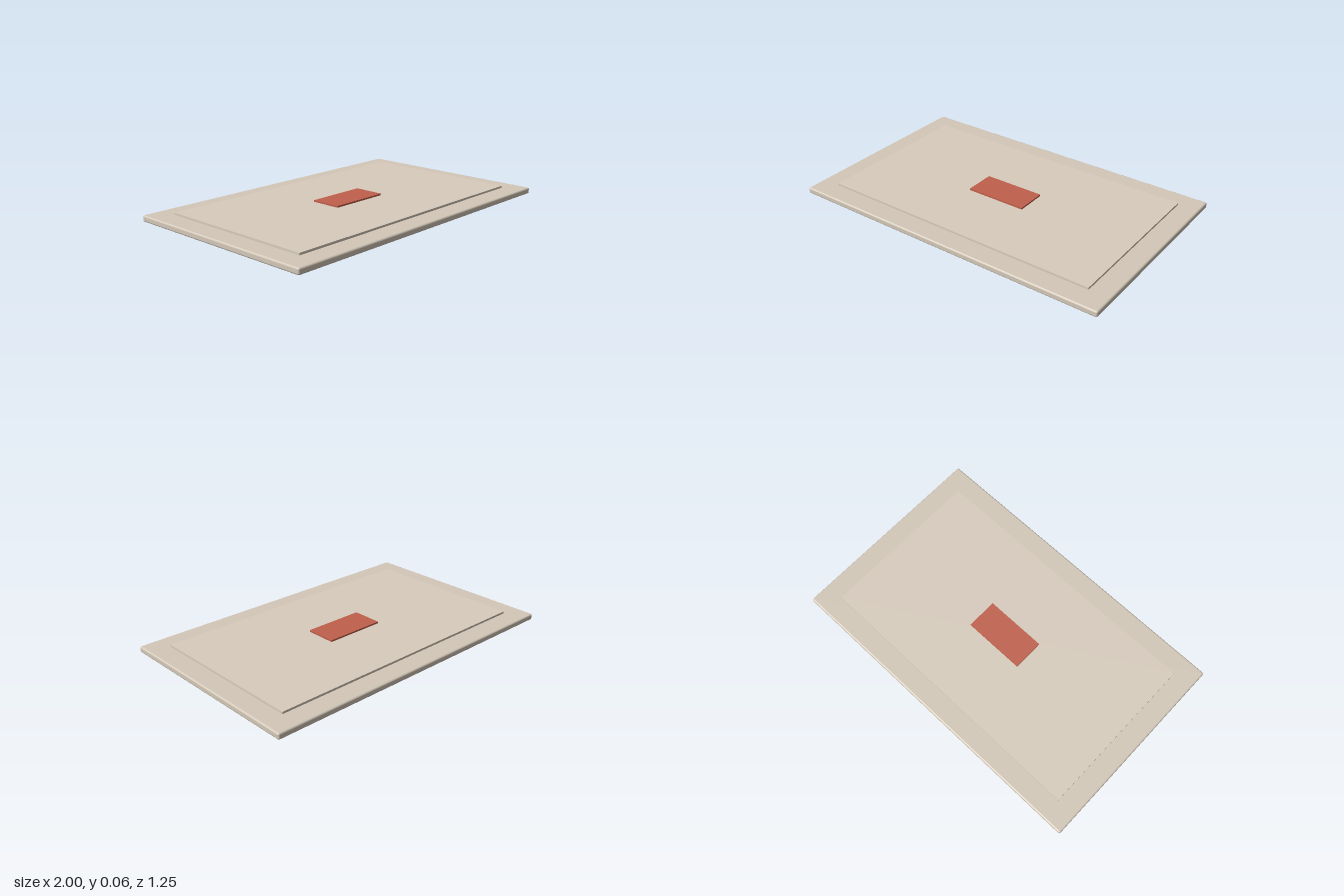
import * as THREE from 'three';
import { RoundedBoxGeometry } from 'three/addons/geometries/RoundedBoxGeometry.js';

export function createModel() {
  const group = new THREE.Group();

  // Adds a slab resting between two heights, with softened edges if a radius is given
  function slab(name, width, depth, bottom, top, color, radius = 0) {
    const height = top - bottom;
    const geometry = radius
      ? new RoundedBoxGeometry(width, height, depth, 3, radius)
      : new THREE.BoxGeometry(width, height, depth);
    const mesh = new THREE.Mesh(geometry, new THREE.MeshStandardMaterial({ color }));
    mesh.name = name;
    mesh.position.y = (bottom + top) / 2;
    group.add(mesh);
  }

  // Rounded base, raised panel and centre plate
  slab('base', 2, 1.25, 0, 0.0375, 0xd3c8b8, 0.01);
  slab('raisedPanel', 1.75, 1, 0.03, 0.05, 0xd8ccbd);
  slab('centrePlate', 0.375, 0.1875, 0.05, 0.06, 0xc0604c);

  return group;
}
